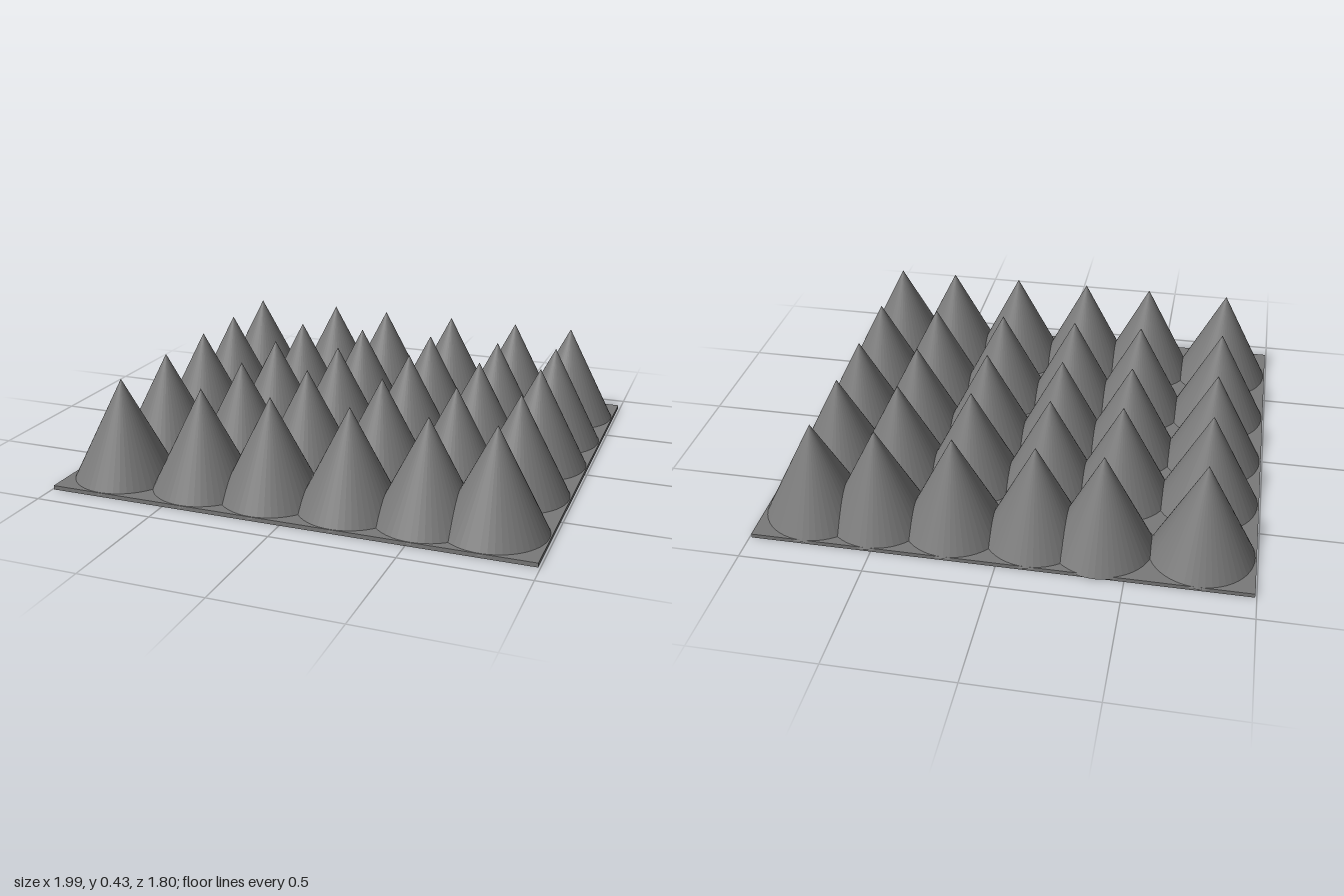
import * as THREE from 'three';

export function createModel() {
  const model = new THREE.Group();
  model.name = 'spikedPanel';
  const plateMaterial = new THREE.MeshStandardMaterial({ color: 0x797979 });
  const coneMaterial = new THREE.MeshStandardMaterial({ color: 0x797979, flatShading: true });

  // Thin backing plate
  const plate = new THREE.Mesh(new THREE.BoxGeometry(1.985, 0.017, 1.782), plateMaterial);
  plate.name = 'basePlate';
  plate.position.set(-0.001, 0.0085, 0.008);
  model.add(plate);

  // Overlapping cones, slightly unevenly spaced
  const radius = 0.212, bottom = 0.01, height = 0.42;
  const columns = [-0.779, -0.419, -0.121, 0.207, 0.518, 0.779];
  const rows = [-0.675, -0.338, -0.028, 0.319, 0.688];
  const coneGeometry = new THREE.ConeGeometry(radius, height, 48);
  coneGeometry.translate(0, bottom + height / 2, 0);

  const cones = new THREE.Group();
  cones.name = 'cones';
  rows.forEach((z, r) => columns.forEach((x, c) => {
    const cone = new THREE.Mesh(coneGeometry, coneMaterial);
    cone.name = `cone_${r + 1}_${c + 1}`;
    cone.position.set(x, 0, z);
    // One cone in the back row sits out of line
    if (r === 0 && c === 1) cone.position.set(-0.388, 0, -0.687);
    cones.add(cone);
  }));
  model.add(cones);
  return model;
}
